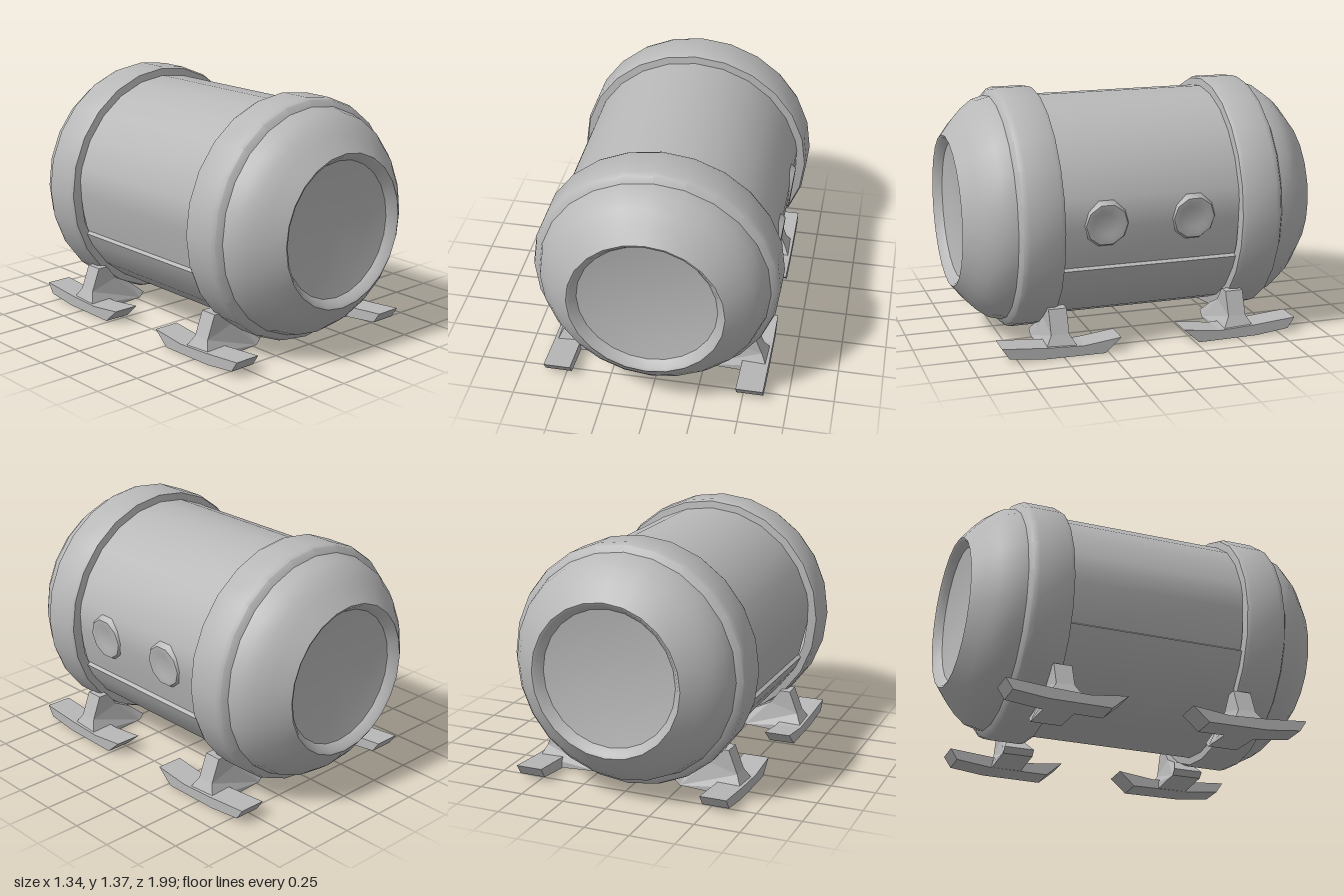
import * as THREE from 'three';
import { toCreasedNormals } from 'three/addons/utils/BufferGeometryUtils.js';

const CENTER_Y = 0.702;
const vectors = (pairs) => pairs.map(([a, b]) => new THREE.Vector2(a, b));

export function createModel() {
  const group = new THREE.Group();
  const grey = new THREE.MeshStandardMaterial({ color: 0xb8b8b8, side: THREE.DoubleSide });
  grey.name = 'plain grey';

  const add = (name, geometry, parent = group) => {
    const mesh = new THREE.Mesh(geometry, grey);
    mesh.name = name;
    parent.add(mesh);
  };

  // Middle barrel: round section with a leaning flank panel above a small sill
  const arc = (from, to) => {
    const points = [];
    for (let a = from; a <= to; a += 15) {
      const t = THREE.MathUtils.degToRad(a);
      points.push([0.62 * Math.cos(t), 0.62 * Math.sin(t)]);
    }
    return points;
  };
  const leftHalf = [
    ...arc(-90, -30), [0.574, -0.235], [0.556, -0.222], [0.608, 0], [0.611, 0.09], ...arc(15, 90),
  ];
  const rightHalf = leftHalf.slice(1, -1).reverse().map(([x, y]) => [-x, y]);
  const barrel = new THREE.ExtrudeGeometry(new THREE.Shape(vectors([...leftHalf, ...rightHalf])),
    { depth: 1.02, bevelEnabled: false });
  barrel.translate(0, CENTER_Y, -0.51);
  add('barrel', toCreasedNormals(barrel, 0.45));

  // Raised band, rounded end and shallow dished face, as [radius, z]
  const half = [
    [0.61, 0.49], [0.66, 0.497], [0.67, 0.52], [0.67, 0.69], [0.66, 0.72], [0.625, 0.74],
    [0.606, 0.81], [0.557, 0.875], [0.505, 0.925], [0.42, 0.993], [0.405, 0.985],
    [0.375, 0.945], [0.25, 0.925], [0, 0.915],
  ];
  const addEnd = (name, profile) => {
    const g = new THREE.LatheGeometry(vectors(profile), 24, Math.PI / 2);
    g.rotateX(Math.PI / 2);
    g.translate(0, CENTER_Y, 0);
    add(name, toCreasedNormals(g, 0.75));
  };
  addEnd('frontEnd', half);
  addEnd('backEnd', half.map(([r, z]) => [r, -z]).reverse());

  // Two round ports on one flank
  for (const z of [0.26, -0.23]) {
    const port = new THREE.LatheGeometry(
      vectors([[0.135, -0.02], [0.115, 0.012], [0.09, 0.012], [0.06, 0.005], [0, 0.004]]), 10);
    port.rotateZ(-Math.PI / 2 - 0.1);
    port.translate(0.607, 0.72, z);
    add('port', toCreasedNormals(port, 0.9));
  }

  // Skid profile in z and y, with raised tips
  const skidShape = new THREE.Shape(vectors([
    [-0.33, 0.085], [-0.24, 0.005], [0.1, 0.008], [0.29, 0.03], [0.33, 0.09],
    [0.09, 0.07], [-0.12, 0.06],
  ]));
  // Bracket profile in x and y, from the body down to the skid
  const bracketShape = new THREE.Shape(vectors([
    [0.25, 0.02], [0.47, 0.008], [0.6, 0.06], [0.57, 0.12], [0.52, 0.25], [0.46, 0.25],
    [0.4, 0.17], [0.3, 0.12], [0.22, 0.05],
  ]));

  for (const side of [-1, 1]) {
    for (const end of [-1, 1]) {
      const foot = new THREE.Group();
      foot.name = (end > 0 ? 'front' : 'back') + (side > 0 ? 'Left' : 'Right') + 'Foot';

      // Skid runs along z
      const skid = new THREE.ExtrudeGeometry(skidShape, { depth: 0.15, bevelEnabled: false });
      skid.translate(0, 0, -0.075);
      skid.rotateY(end > 0 ? -Math.PI / 2 : Math.PI / 2);
      skid.translate(side * 0.54, 0, end * 0.51);
      add('skid', skid, foot);

      // Narrow strut that flares out at its base
      const bracket = new THREE.ExtrudeGeometry(bracketShape, { depth: 0.2, bevelEnabled: false });
      bracket.translate(0, 0, -0.1);
      const b = bracket.attributes.position;
      for (let i = 0; i < b.count; i++) b.setZ(i, b.getZ(i) * (b.getY(i) > 0.11 ? 0.5 : 0.85));
      if (side < 0) bracket.rotateY(Math.PI);
      bracket.translate(0, 0, end * 0.51);
      bracket.computeVertexNormals();
      add('bracket', bracket, foot);
      group.add(foot);
    }
  }
  return group;
}
